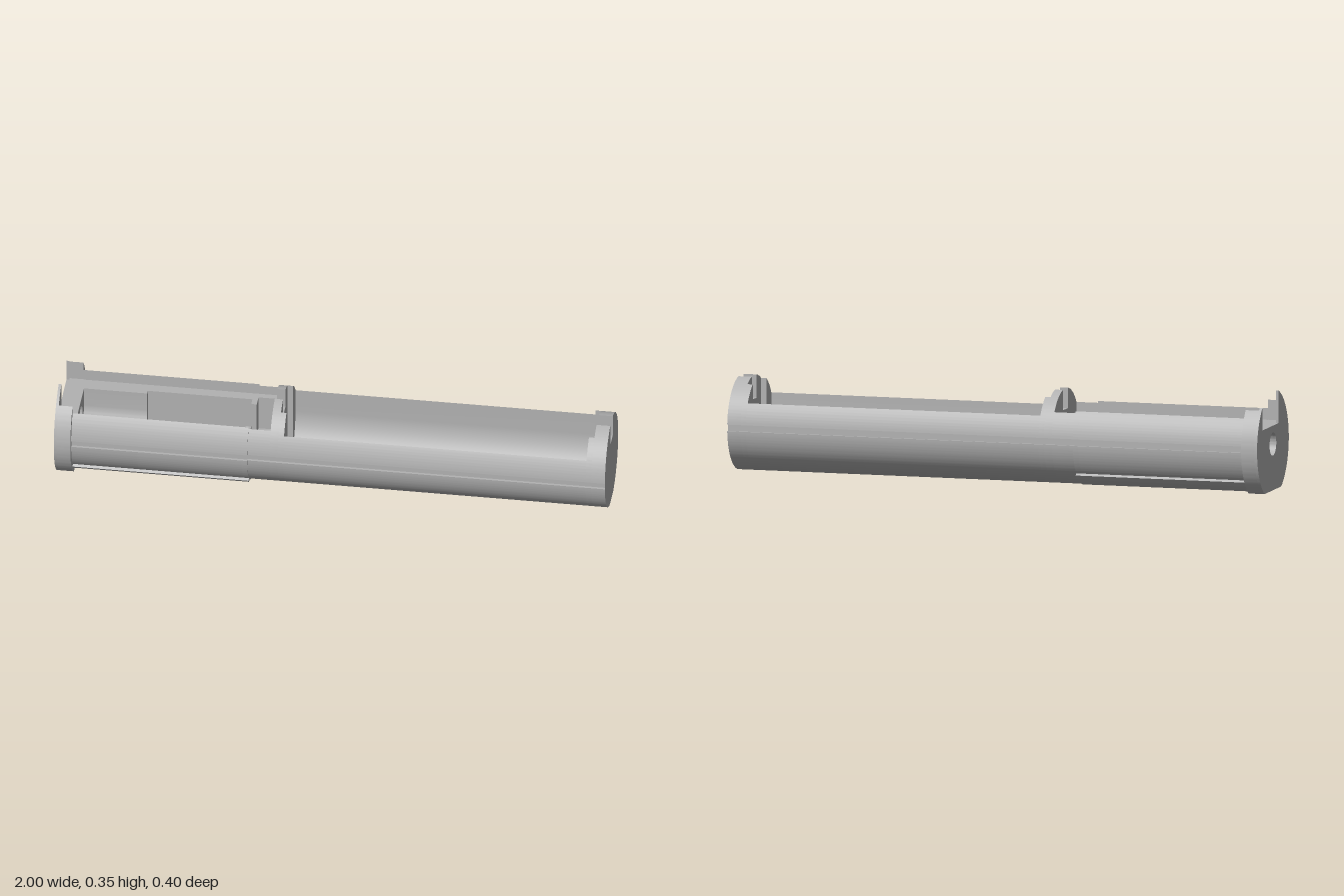
import * as THREE from 'three';
import { toCreasedNormals } from 'three/addons/utils/BufferGeometryUtils.js';

const CY = 0.168;      // height of the long axis
const R_BAY = 0.172;   // battery half
const R_MOTOR = 0.176; // motor half
const R_FLANGE = 0.198;
const FLOOR = 0.235;   // deck of the motor half

// arc points [z, y], flattened where it would drop below the ground
function arc(r, a, b, n = 40) {
  const pts = [];
  for (let i = 0; i <= n; i++) {
    const t = a + (b - a) * i / n;
    pts.push([r * Math.cos(t), Math.max(0, CY + r * Math.sin(t))]);
  }
  return pts;
}

// outside of the tube from the front rim, under the belly, to the rear rim;
// front and rear are the distances of the rims from the middle
function outside(r, front, rear, grooved = true) {
  const a = Math.acos(front / r), b = -Math.PI - Math.acos(rear / r);
  if (!grooved) return arc(r, a, b, 120);
  const g = 0.012 / r, d = r - 0.01;
  return [
    ...arc(r, a, g), [d, CY + 0.012], [d, CY - 0.012],
    ...arc(r, -g, -Math.PI + g, 100), [-d, CY - 0.012], [-d, CY + 0.012],
    ...arc(r, -Math.PI - g, b),
  ];
}

// flat-bottomed cut of half width w
const slot = (w, y) => [[-w, y], [w, y]];
// round-bottomed cut of radius r
const trough = (r) => arc(r, -Math.PI, 0);

export function createModel() {
  const group = new THREE.Group();
  const grey = new THREE.MeshStandardMaterial({ color: 0xb2b2b2 });
  grey.name = 'grey plastic';

  // extrude a [z, y] outline from x0 to x1
  function section(name, x0, x1, points, holeRadius = 0) {
    const shape = new THREE.Shape(points.map(([z, y]) => new THREE.Vector2(-z, y)));
    if (holeRadius) {
      const hole = new THREE.Path();
      hole.absarc(0, CY, holeRadius, 0, Math.PI * 2, true);
      shape.holes.push(hole);
    }
    let geo = new THREE.ExtrudeGeometry(shape, { depth: x1 - x0, bevelEnabled: false, curveSegments: 24 });
    geo.rotateY(Math.PI / 2).translate(x0, 0, 0);
    geo = toCreasedNormals(geo, 0.5);
    const mesh = new THREE.Mesh(geo, grey);
    mesh.name = name;
    group.add(mesh);
  }

  // flange with a thin end plate and a shaft hole
  section('flangePlate', -1, -0.99,
    [...outside(R_FLANGE, 0.07, 0.13, false), [-0.13, FLOOR], [0.07, FLOOR]], 0.042);
  section('flangeRing', -0.99, -0.94,
    [...outside(R_FLANGE, 0.14, 0.14, false), ...slot(0.14, FLOOR)], 0.042);

  // motor half: walls above a deck, with pockets cut into the deck
  const W = 0.138;
  const deck = (r, pocket) => [
    ...outside(r, W, W), [-W, FLOOR],
    [pocket[0][0], FLOOR], ...pocket, [pocket[pocket.length - 1][0], FLOOR],
    [W, FLOOR],
  ];
  section('motorEndWall', -0.94, -0.93, [...outside(R_MOTOR, W, W), ...slot(W, FLOOR)], 0.042);
  section('motorCradle', -0.93, -0.7, deck(R_MOTOR, trough(0.083)));
  section('gearboxPocket', -0.7, -0.32, deck(R_MOTOR, slot(0.1, 0.07)));
  section('wireGap', -0.32, -0.3, deck(R_MOTOR, slot(0.07, 0.07)));
  section('switchPocket', -0.3, -0.22, deck(R_BAY, slot(0.115, 0.1)));

  // battery half: bulkhead, open trough and end cap, both with contact recesses
  const recess = [...outside(R_BAY, 0.085, 0.085), ...slot(0.085, 0.05)];
  section('bulkhead', -0.22, -0.19, [...outside(R_BAY, 0.031, 0.031), ...slot(0.031, 0.263)]);
  section('bulkheadContactRecess', -0.19, -0.17, recess);
  section('batteryTrough', -0.17, 0.93, [...outside(R_BAY, 0.147, 0.147), ...trough(0.147)]);
  section('endCapContactRecess', 0.93, 0.95, recess);
  section('endCap', 0.95, 1, [...outside(R_BAY, 0.031, 0.031), ...slot(0.031, 0.253)]);

  // lower guide ribs along the motor half
  for (const side of [1, -1]) {
    const rib = new THREE.Mesh(new THREE.BoxGeometry(0.64, 0.02, 0.018), grey);
    rib.name = side > 0 ? 'frontRib' : 'rearRib';
    rib.position.set(-0.62, CY - 0.125, side * 0.125);
    rib.rotation.x = side * Math.PI / 4;
    group.add(rib);
  }
  return group;
}
